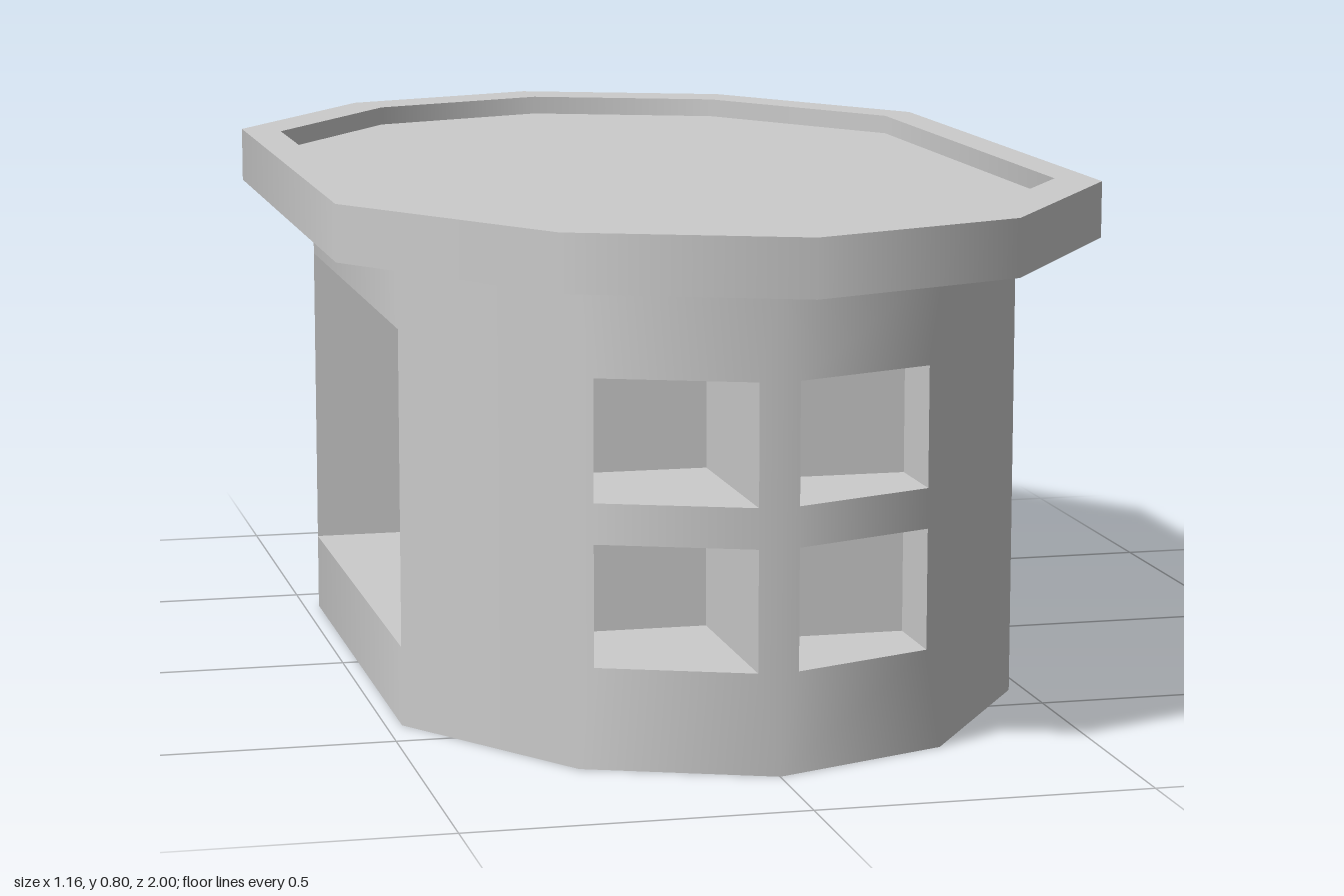
import * as THREE from 'three';
import { mergeGeometries } from 'three/addons/utils/BufferGeometryUtils.js';

const BODY = 0.82, LIP = 0.9, BODY_TOP = 0.715, TOP = 0.8, FLOOR = 0.77;

// Ten-sided outline in plan as [x, z], running from the front towards +x
const outline = (s) => [
  [0, 1], [0.33, 0.87], [0.58, 0.5], [0.58, -0.5], [0.33, -0.87],
  [0, -1], [-0.33, -0.87], [-0.58, -0.5], [-0.58, 0.5], [-0.33, 0.87],
].map(([x, z]) => new THREE.Vector2(x * s, z * s));

// Smooth normal at corner i, averaged from the two walls that meet there
function cornerNormal(pts, i) {
  const n = pts.length;
  const side = (a, b) => new THREE.Vector2(a.y - b.y, b.x - a.x).normalize();
  return side(pts[(i + n - 1) % n], pts[i]).add(side(pts[i], pts[(i + 1) % n])).normalize();
}

const rect = (P, x0, x1, y0, y1) =>
  new P([[x0, y0], [x1, y0], [x1, y1], [x0, y1]].map((p) => new THREE.Vector2(...p)));

// One wall of the outline, with rectangular openings [u0, u1, y0, y1]
function wall(pts, i, y0, y1, holes = []) {
  const j = (i + 1) % pts.length, a = pts[i], b = pts[j];
  const na = cornerNormal(pts, i), nb = cornerNormal(pts, j);
  const shape = rect(THREE.Shape, 0, 1, y0, y1);
  holes.forEach((h) => shape.holes.push(rect(THREE.Path, ...h)));
  const g = new THREE.ShapeGeometry(shape);
  const pos = g.attributes.position, nor = g.attributes.normal;
  for (let k = 0; k < pos.count; k++) {
    const u = pos.getX(k);
    const p = a.clone().lerp(b, u), n = na.clone().lerp(nb, u).normalize();
    pos.setXYZ(k, p.x, pos.getY(k), p.y);
    nor.setXYZ(k, -n.x * -1, 0, n.y);
    if (inwardCheck(a, b, n)) nor.setXYZ(k, -n.x, 0, -n.y);
  }
  return g;
}

// True when a normal points against the visible side of wall a-b
function inwardCheck(a, b, n) {
  return n.x * (a.y - b.y) + n.y * (b.x - a.x) < 0;
}

// Flat horizontal cap, optionally with a hole, facing up or down
function cap(pts, y, up, hole) {
  const shape = new THREE.Shape(pts.map((p) => new THREE.Vector2(p.x, -p.y)));
  if (hole) shape.holes.push(new THREE.Path(hole.map((p) => new THREE.Vector2(p.x, -p.y))));
  const g = new THREE.ShapeGeometry(shape);
  g.rotateX(-Math.PI / 2);
  if (!up) {
    g.index.array.reverse();
    g.attributes.normal.array.forEach((v, k, arr) => { arr[k] = -v; });
  }
  return g.translate(0, y, 0);
}

// Flat-shaded lining from an opening's corners c to its inner corners d
function lining(c, d, closed) {
  const quads = c.map((p, k) => [p, c[(k + 1) % 4], d[(k + 1) % 4], d[k]]);
  if (closed) quads.push(d);
  const tri = quads.flatMap(([p, q, r, s]) => [p, q, r, p, r, s]);
  const g = new THREE.BufferGeometry().setFromPoints(tri);
  g.computeVertexNormals();
  return g;
}

export function createModel() {
  const group = new THREE.Group();
  const material = new THREE.MeshStandardMaterial({ color: 0xcccccc });
  const add = (name, parts) => {
    const geos = parts.map((g) => {
      const flat = g.index ? g.toNonIndexed() : g;
      flat.deleteAttribute('uv');
      return flat;
    });
    const mesh = new THREE.Mesh(mergeGeometries(geos), material);
    mesh.name = name;
    group.add(mesh);
  };

  const body = outline(BODY), rim = outline(1), lip = outline(LIP);
  const tunnel = [0.12, 0.6];

  // Body walls, window recesses and the long side openings
  const front = [[0.15, 0.33], [0.39, 0.57]], back = [[0.14, 0.345], [0.38, 0.58]];
  const windows = {
    0: { rows: front, x: [0.03, 0.245], z: 0.6 },
    9: { rows: front, x: [-0.25, -0.03], z: 0.5 },
    4: { rows: back, x: [0.255, 0.025], z: -0.58 },
    5: { rows: back, x: [-0.025, -0.255], z: -0.58 },
  };
  const walls = [], recesses = [];
  body.forEach((a, i) => {
    const b = body[(i + 1) % body.length], w = windows[i];
    if (i === 2 || i === 7) {
      walls.push(wall(body, i, 0, tunnel[0]), wall(body, i, tunnel[1], BODY_TOP));
    } else if (w) {
      const [u0, u1] = w.x.map((x) => (x - a.x) / (b.x - a.x));
      walls.push(wall(body, i, 0, BODY_TOP, w.rows.map(([y0, y1]) => [u0, u1, y0, y1])));
      for (const [y0, y1] of w.rows) {
        const c = [[u0, y0], [u1, y0], [u1, y1], [u0, y1]].map(([u, y]) => {
          const p = a.clone().lerp(b, u);
          return new THREE.Vector3(p.x, y, p.y);
        });
        recesses.push(lining(c, c.map((p) => new THREE.Vector3(p.x, p.y, w.z)), true));
      }
    } else walls.push(wall(body, i, 0, BODY_TOP));
  });
  add('bodyWalls', walls);
  add('windowRecesses', recesses);
  add('base', [cap(body, 0, false)]);

  // Opening that runs through the body from side to side
  const { x, y: z } = body[2];
  const mouth = [[z, tunnel[0]], [-z, tunnel[0]], [-z, tunnel[1]], [z, tunnel[1]]]
    .map(([pz, py]) => new THREE.Vector3(x, py, pz));
  add('sideTunnel', [lining(mouth, mouth.map((p) => new THREE.Vector3(-x, p.y, p.z)), false)]);

  // Overhanging tray on top with a shallow sunken floor
  add('trayRim', [
    ...rim.map((_, i) => wall(rim, i, BODY_TOP, TOP)),
    cap(rim, TOP, true, lip),
    cap(rim, BODY_TOP, false, body),
  ]);
  const inside = [...lip].reverse();
  add('trayInnerEdge', inside.map((_, i) => wall(inside, i, FLOOR, TOP)));
  add('trayFloor', [cap(lip, FLOOR, true)]);
  return group;
}
